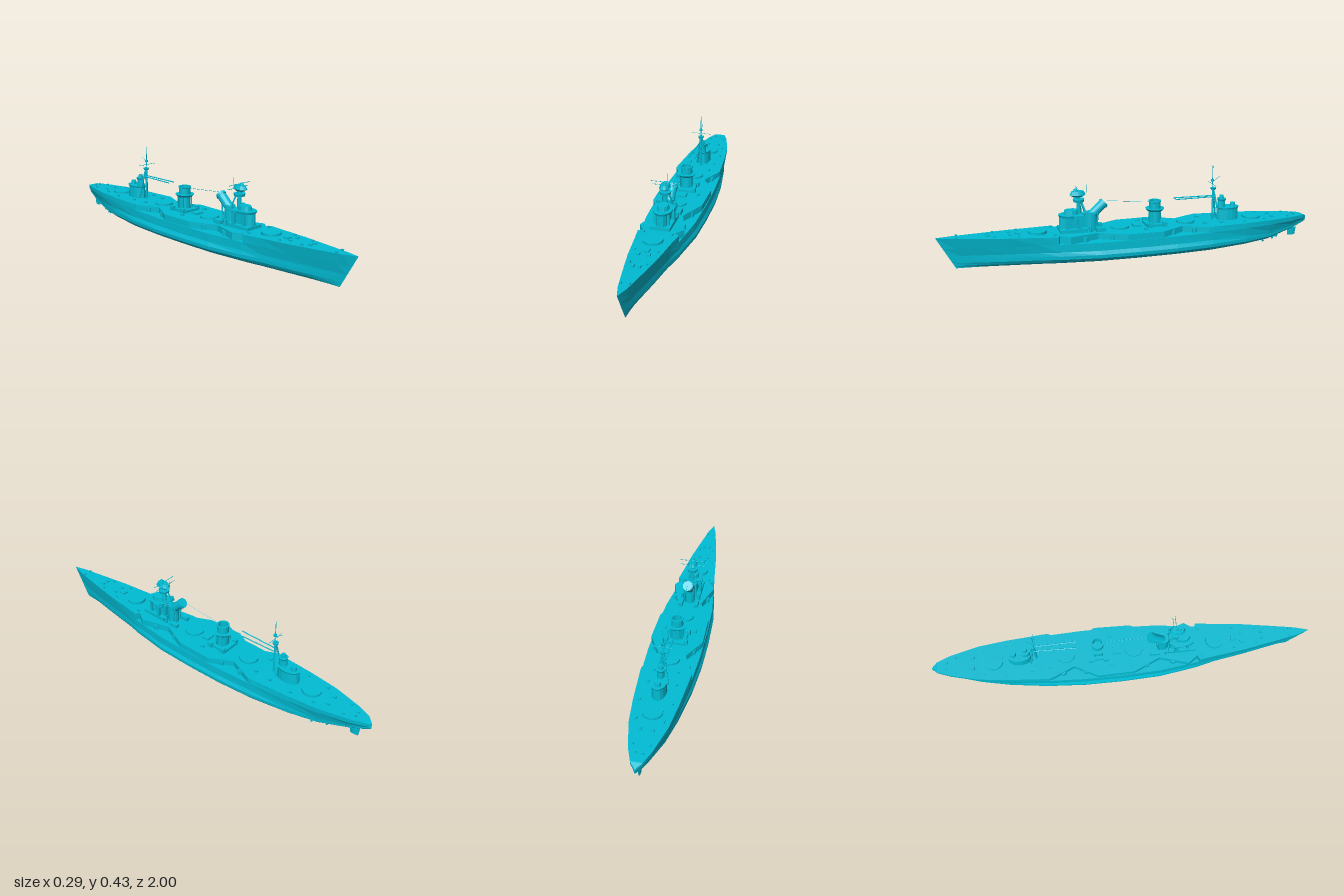
import * as THREE from 'three';

const material = new THREE.MeshStandardMaterial({ color: 0x00bcd4, flatShading: true, side: THREE.DoubleSide });

// z, deck half width, deck height, half width at shelf, at bulge, flat bottom, keel height
const STATIONS = [
  [1.0, 0.001, 0.165, 0.001, 0.001, 0.0005, 0],
  [0.93, 0.022, 0.162, 0.016, 0.01, 0.003, 0],
  [0.8, 0.046, 0.158, 0.038, 0.03, 0.012, 0],
  [0.65, 0.072, 0.154, 0.063, 0.055, 0.03, 0],
  [0.5, 0.09, 0.15, 0.086, 0.08, 0.052, 0],
  [0.4, 0.104, 0.147, 0.102, 0.105, 0.07, 0],
  [0.2, 0.13, 0.141, 0.128, 0.136, 0.095, 0],
  [0.0, 0.136, 0.14, 0.136, 0.145, 0.102, 0],
  [-0.2, 0.136, 0.14, 0.136, 0.145, 0.102, 0],
  [-0.4, 0.125, 0.138, 0.127, 0.132, 0.092, 0],
  [-0.6, 0.11, 0.136, 0.11, 0.105, 0.06, 0.002],
  [-0.75, 0.092, 0.134, 0.09, 0.075, 0.03, 0.01],
  [-0.9, 0.055, 0.131, 0.053, 0.038, 0.012, 0.05],
  [-0.97, 0.028, 0.128, 0.027, 0.018, 0.006, 0.075],
  [-1.0, 0.002, 0.116, 0.002, 0.002, 0.001, 0.088],
];
const SHELF = 0.108;

// Upper deck edge amidships: z, half width (recessed gun embrasures)
const NOTCHES = [[0.4, 0.078], [0.35, 0.112], [0.2, 0.066], [0.06, 0.13], [-0.13, 0.134], [-0.25, 0.07], [-0.38, 0.126]];

function stationAt(z) {
  let i = 0;
  while (i < STATIONS.length - 2 && STATIONS[i + 1][0] > z) i++;
  const a = STATIONS[i], b = STATIONS[i + 1], t = (a[0] - z) / (a[0] - b[0]);
  return a.map((v, k) => v + (b[k] - v) * t);
}
const deckY = (z) => stationAt(z)[2];

// Raked stem: lower points move aft near the bow
const rake = (z, y) => z + (y / 0.165 - 1) * 0.09 * Math.max(0, (z - 0.7) / 0.3);

// Skin a list of half sections (bottom to top), mirrored across x = 0
function loft(sections) {
  const rings = sections.map((s) => [...s, ...s.map(([x, y, z]) => [-x, y, z]).reverse()]);
  const n = rings[0].length, pos = [];
  for (let j = 0; j < rings.length - 1; j++) {
    for (let i = 0; i < n; i++) {
      const k = (i + 1) % n;
      const a = rings[j][i], b = rings[j][k], c = rings[j + 1][k], d = rings[j + 1][i];
      pos.push(...a, ...d, ...b, ...b, ...d, ...c);
    }
  }
  const g = new THREE.BufferGeometry();
  g.setAttribute('position', new THREE.Float32BufferAttribute(pos, 3));
  g.computeVertexNormals();
  return g;
}

export function createModel() {
  const ship = new THREE.Group();
  ship.name = 'battleship';

  const add = (name, geo, x = 0, y = 0, z = 0) => {
    const m = new THREE.Mesh(geo, material);
    m.name = name;
    m.position.set(x, y, z);
    ship.add(m);
    return m;
  };
  // Boxes and cylinders are placed by their base height
  const box = (name, w, h, d, x, y, z) => add(name, new THREE.BoxGeometry(w, h, d), x, y + h / 2, z);
  const cyl = (name, rTop, rBase, h, x, y, z, seg = 16, sz = 1) => {
    const m = add(name, new THREE.CylinderGeometry(rTop, rBase, h, seg), x, y + h / 2, z);
    m.scale.z = sz;
    return m;
  };
  const rod = (name, a, b, r, seg = 6) => {
    const p = new THREE.Vector3(...a), q = new THREE.Vector3(...b), d = q.clone().sub(p);
    const m = add(name, new THREE.CylinderGeometry(r, r, d.length(), seg));
    m.position.copy(p).add(q).multiplyScalar(0.5);
    m.quaternion.setFromUnitVectors(new THREE.Vector3(0, 1, 0), d.normalize());
    return m;
  };

  // Lower hull with anti-torpedo bulge
  add('lowerHull', loft(STATIONS.map(([z, , , shelf, bulge, flat, keel]) => {
    const mid = Math.min(shelf, bulge) * 0.99;
    const rows = [[flat, 0], [flat + (bulge - flat) * 0.62, 0.012], [bulge * 0.985, 0.028], [bulge, 0.046],
      [Math.max(mid, (shelf + bulge) / 2 - 0.004), 0.066], [shelf, SHELF]];
    return rows.map(([x, y]) => {
      const h = keel + y * (1 - keel / SHELF);
      return [x, h, rake(z, h)];
    });
  })));

  // Upper hull and deck with recessed embrasures
  const zs = STATIONS.map((s) => s[0]).filter((z) => z > 0.405 || z < -0.385);
  const upper = [...zs.map((z) => [z, null]), [0.41, null], ...NOTCHES].sort((a, b) => b[0] - a[0]);
  add('upperHull', loft(upper.map(([z, w]) => {
    const s = stationAt(z);
    return [[w ?? s[3], SHELF, rake(z, SHELF)], [w ?? s[1], s[2], rake(z, s[2])]];
  })));

  // Turret barbettes
  for (const [z, top] of [[0.5, 0.163], [0.07, 0.15], [-0.29, 0.15], [-0.67, 0.146]]) {
    cyl('barbette', 0.049, 0.049, top - 0.12, 0, 0.12, z, 32);
  }

  // Forward superstructure
  box('bridgeBase', 0.1, 0.025, 0.14, 0, 0.138, 0.32);
  cyl('conningTower', 0.028, 0.03, 0.08, 0, 0.15, 0.345, 12, 1.5);
  box('bridgeHouse', 0.055, 0.075, 0.07, 0, 0.15, 0.29);
  cyl('bridgePlatform', 0.05, 0.046, 0.011, 0, 0.222, 0.325, 12, 1.35);
  cyl('bridgeCabin', 0.027, 0.03, 0.022, 0, 0.233, 0.325, 12, 1.3);
  for (const s of [1, -1]) {
    box('bridgePillar', 0.015, 0.065, 0.018, s * 0.042, 0.16, 0.29);
    box('bridgePillar', 0.012, 0.065, 0.012, s * 0.034, 0.16, 0.35);
    box('wingPlatform', 0.02, 0.01, 0.06, s * 0.043, 0.224, 0.29);
    cyl('searchlight', 0.008, 0.008, 0.014, s * 0.043, 0.234, 0.27, 10);
    rod('mastLeg', [s * 0.026, 0.23, 0.25], [s * 0.006, 0.33, 0.285], 0.004);
  }

  // Foremast with fire control tops
  cyl('foremast', 0.009, 0.012, 0.13, 0, 0.22, 0.285, 10);
  cyl('lowerTop', 0.03, 0.027, 0.014, 0, 0.295, 0.285, 12);
  cyl('topFloor', 0.028, 0.018, 0.01, 0, 0.322, 0.29, 12, 1.5);
  cyl('fireControlTop', 0.02, 0.026, 0.018, 0, 0.332, 0.29, 12, 1.6);
  cyl('director', 0.008, 0.011, 0.013, 0, 0.35, 0.3, 10);
  box('rangefinder', 0.04, 0.008, 0.01, 0, 0.336, 0.3);
  rod('lowerYard', [-0.07, 0.335, 0.275], [0.07, 0.335, 0.275], 0.0015);
  rod('upperYard', [-0.073, 0.356, 0.285], [0.073, 0.356, 0.285], 0.0015);
  rod('foreAntenna', [0, 0.34, 0.245], [0, 0.38, 0.24], 0.0012);

  // Raked fore funnel on an uptake trunk
  cyl('uptakeTrunk', 0.025, 0.027, 0.1, 0, 0.138, 0.222, 14, 1.2);
  rod('foreFunnel', [0, 0.212, 0.228], [0, 0.283, 0.15], 0.024, 18);
  rod('foreFunnelRim', [0, 0.273, 0.161], [0, 0.279, 0.154], 0.027, 18);
  for (const s of [1, -1]) {
    rod('steamPipe', [s * 0.026, 0.145, 0.2], [s * 0.026, 0.235, 0.19], 0.004);
    box('boatDeckHouse', 0.022, 0.022, 0.05, s * 0.042, 0.138, 0.18);
    cyl('ventilator', 0.008, 0.008, 0.035, s * 0.046, 0.138, 0.235, 8);
  }

  // Aft funnel as a hollow turned profile
  const funnel = [[0.032, 0.138], [0.03, 0.262], [0.033, 0.264], [0.033, 0.27], [0.024, 0.27], [0.024, 0.2], [0, 0.2]];
  add('aftFunnel', new THREE.LatheGeometry(funnel.map((p) => new THREE.Vector2(...p)), 24), 0, 0, -0.12);
  cyl('funnelPlatform', 0.05, 0.04, 0.012, 0, 0.217, -0.12, 20);
  box('funnelBase', 0.1, 0.016, 0.11, 0, 0.138, -0.12);
  for (const sx of [1, -1]) for (const sz of [1, -1]) {
    box('ventBox', 0.02, 0.026, 0.024, sx * 0.05, 0.138, -0.12 + sz * 0.04);
    rod('funnelPipe', [sx * 0.03, 0.15, -0.12 + sz * 0.02], [sx * 0.03, 0.22, -0.12 + sz * 0.02], 0.004);
  }

  // Aft superstructure
  cyl('aftHouse', 0.034, 0.036, 0.06, 0, 0.136, -0.53, 14, 1.75);
  cyl('aftPlatform', 0.04, 0.037, 0.009, 0, 0.196, -0.53, 14, 1.6);
  cyl('aftTower', 0.016, 0.018, 0.05, 0, 0.2, -0.495, 10, 1.3);
  cyl('aftTowerTop', 0.025, 0.02, 0.012, 0, 0.24, -0.495, 12);
  cyl('aftDirector', 0.011, 0.013, 0.018, 0, 0.252, -0.495, 10);
  cyl('aftRangefinder', 0.014, 0.016, 0.02, 0, 0.205, -0.56, 10);

  // Mainmast with yards and boat booms
  rod('mainmast', [0, 0.138, -0.445], [0, 0.32, -0.445], 0.006, 8);
  rod('topmast', [0, 0.31, -0.44], [0, 0.434, -0.44], 0.002);
  cyl('mastTop', 0.016, 0.013, 0.01, 0, 0.305, -0.445, 10);
  cyl('mastLamp', 0.009, 0.009, 0.01, 0, 0.35, -0.44, 8);
  rod('mainYard', [-0.055, 0.335, -0.44], [0.055, 0.335, -0.44], 0.0012);
  rod('gaff', [0, 0.345, -0.44], [0, 0.375, -0.48], 0.0012);
  for (const s of [1, -1]) {
    rod('boatBoom', [s * 0.012, 0.268, -0.45], [s * 0.017, 0.27, -0.23], 0.003);
    rod('mainmastLeg', [s * 0.03, 0.138, -0.475], [s * 0.004, 0.3, -0.447], 0.0045);
  }
  rod('aerialWire', [0, 0.288, 0.14], [0, 0.266, -0.08], 0.001, 4);

  // Deck fittings in mirrored pairs: x, z, size
  const fittings = [[0.02, 0.9, 0.009], [0.015, 0.75, 0.013], [0.04, 0.72, 0.008], [0.025, 0.64, 0.012], [0.055, 0.6, 0.008],
    [0.07, 0.42, 0.01], [0.08, -0.05, 0.014], [0.06, -0.38, 0.014], [0.07, -0.47, 0.012], [0.08, -0.6, 0.009],
    [0.065, -0.72, 0.009], [0.03, -0.78, 0.012], [0.04, -0.87, 0.008], [0.015, -0.92, 0.008]];
  for (const [x, z, d] of fittings) for (const s of [1, -1]) {
    box('deckFitting', d, 0.012, d * 1.4, s * x, deckY(z) - 0.004, z);
  }
  box('deckHatch', 0.03, 0.012, 0.03, 0, deckY(0.6) - 0.004, 0.6);
  box('midshipHatch', 0.05, 0.012, 0.04, 0, 0.138, -0.02);

  // Embrasure gun houses on the shelf
  for (const s of [1, -1]) for (const [x, z] of [[0.085, 0.27], [0.09, 0.13], [0.095, -0.19], [0.093, -0.31]]) {
    cyl('casemate', 0.014, 0.014, 0.024, s * x, SHELF, z, 12);
  }

  // Shelf deck closing the hull beneath the embrasures
  add('shelfDeck', loft([0.41, 0.2, 0, -0.2, -0.4].map((z) => {
    const w = stationAt(z)[3];
    return [[w, SHELF - 0.002, z], [w, SHELF, z]];
  })));

  // Rudders, shafts and propellers
  const blade = (name, z, y, h, d) => {
    rod(name + 'Stock', [0, y + h * 0.8, z], [0, y + h + 0.03, z], 0.004);
    const m = cyl(name, d / 2, d / 2.6, h, 0, y, z, 10);
    m.scale.x = 0.25;
  };
  blade('aftRudder', -0.92, 0.01, 0.043, 0.056);
  blade('foreRudder', -0.82, 0.006, 0.035, 0.042);
  for (const s of [1, -1]) for (const [x, z] of [[0.026, -0.79], [0.055, -0.72]]) {
    rod('propellerShaft', [s * x, 0.02, z + 0.17], [s * x, 0.022, z], 0.003);
    rod('shaftStrut', [s * x, 0.022, z + 0.02], [s * x * 0.8, 0.06, z + 0.02], 0.003);
    for (let i = 0; i < 3; i++) {
      const b = add('propellerBlade', new THREE.BoxGeometry(0.008, 0.034, 0.003), s * x, 0.022, z);
      b.rotation.z = i * Math.PI / 3;
    }
  }
  return ship;
}
